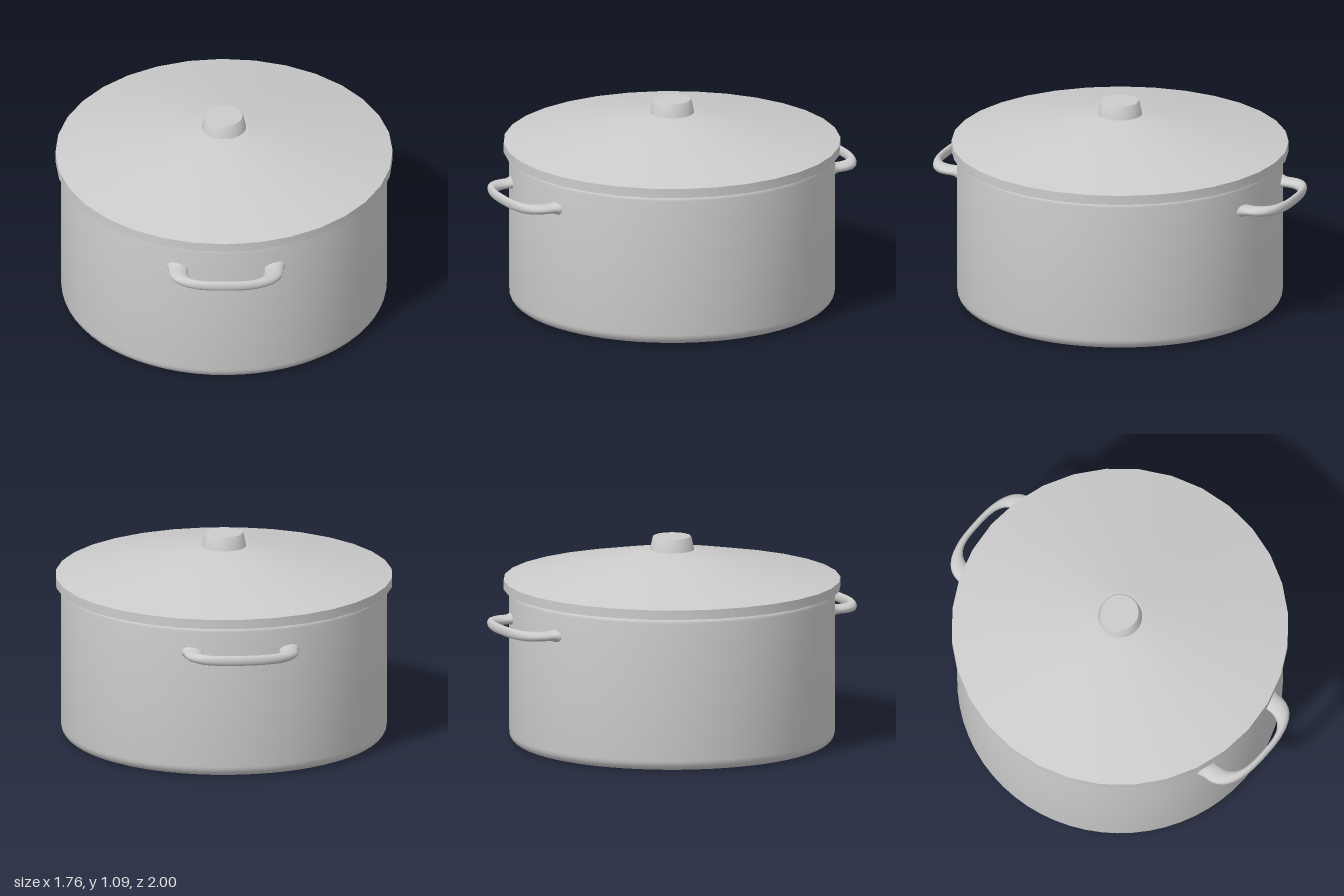
import * as THREE from 'three';
import { toCreasedNormals } from 'three/addons/utils/BufferGeometryUtils.js';

const material = new THREE.MeshStandardMaterial({ color: 0xcccccc });

// Revolved part with crisp corners and smooth rounds
function turned(name, profile, sides) {
  const points = profile.map(([r, y]) => new THREE.Vector2(r, y));
  const geometry = toCreasedNormals(new THREE.LatheGeometry(points, sides), 0.6);
  const mesh = new THREE.Mesh(geometry, material);
  mesh.name = name;
  return mesh;
}

// Quarter round in a profile, from angle a to angle b
function round(cx, cy, r, a, b, steps = 6) {
  return Array.from({ length: steps + 1 }, (_, i) => {
    const t = a + ((b - a) * i) / steps;
    return [cx + r * Math.cos(t), cy + r * Math.sin(t)];
  });
}

// Point on a squarish half loop lying in the xz plane
function loopPoint(t, halfWidth, depth, n) {
  const c = Math.cos(t), s = Math.max(0, Math.sin(t));
  return [halfWidth * Math.sign(c) * Math.abs(c) ** (2 / n), 0.83 + depth * s ** (2 / n)];
}

// Loop handle: oval sections spanning an inner and an outer curve, flared at the wall
function handleGeometry() {
  const stations = [];
  const leg = [[0.775, 0.045, 0.015], [0.8, 0.036, 0.008], [0.815, 0.029, 0.003]];
  const addLeg = (side, [z, h, flare]) => stations.push({
    outer: [side * (0.3 + flare), z], inner: [side * (0.2 - flare), z], h,
  });
  leg.forEach((l) => addLeg(1, l));
  const steps = 40;
  for (let i = 0; i <= steps; i++) {
    const t = (Math.PI * i) / steps;
    stations.push({
      outer: loopPoint(t, 0.3, 0.17, 2.6),
      inner: loopPoint(t, 0.2, 0.139, 3),
      h: 0.024 + 0.003 * Math.sin(t),
    });
  }
  [...leg].reverse().forEach((l) => addLeg(-1, l));

  const sides = 16, position = [], index = [];
  stations.forEach(({ outer, inner, h }, i) => {
    for (let k = 0; k < sides; k++) {
      const a = (k / sides) * Math.PI * 2;
      const f = 0.5 + 0.5 * Math.cos(a);
      position.push(
        inner[0] + (outer[0] - inner[0]) * f,
        h * Math.sin(a),
        inner[1] + (outer[1] - inner[1]) * f,
      );
      if (i === 0) continue;
      const k2 = (k + 1) % sides;
      const p = (i - 1) * sides, q = i * sides;
      index.push(p + k, p + k2, q + k, p + k2, q + k2, q + k);
    }
  });
  const geometry = new THREE.BufferGeometry();
  geometry.setAttribute('position', new THREE.Float32BufferAttribute(position, 3));
  geometry.setIndex(index);
  geometry.computeVertexNormals();
  return geometry;
}

export function createModel() {
  const group = new THREE.Group();
  group.name = 'cookingPot';

  // Hollow body with rounded base, recessed underside and rounded lip
  group.add(turned('potBody', [
    [0, 0.015], [0.71, 0.015], [0.72, 0], [0.79, 0],
    ...round(0.795, 0.055, 0.055, -Math.PI / 2, 0),
    [0.85, 0.4],
    ...round(0.82, 0.785, 0.03, 0, Math.PI / 2),
    [0.8, 0.815], [0.79, 0.8], [0.79, 0.06], [0.75, 0.03], [0, 0.03],
  ], 64));

  // Shallow conical lid with an upright rim
  group.add(turned('lid', [
    [0, 0.812], [0.88, 0.812], [0.88, 0.862],
    [0.5, 0.943], [0.16, 1.01], [0.115, 1.016], [0, 1.016],
  ], 32));

  // Tapered knob
  group.add(turned('lidKnob', [
    [0.117, 1.01], [0.102, 1.08], [0.097, 1.087], [0, 1.087],
  ], 32));

  // Handles at front and back
  const handle = handleGeometry();
  ['frontHandle', 'backHandle'].forEach((name, i) => {
    const mesh = new THREE.Mesh(handle, material);
    mesh.name = name;
    mesh.position.y = 0.67;
    mesh.rotation.y = Math.PI * i;
    group.add(mesh);
  });
  return group;
}
